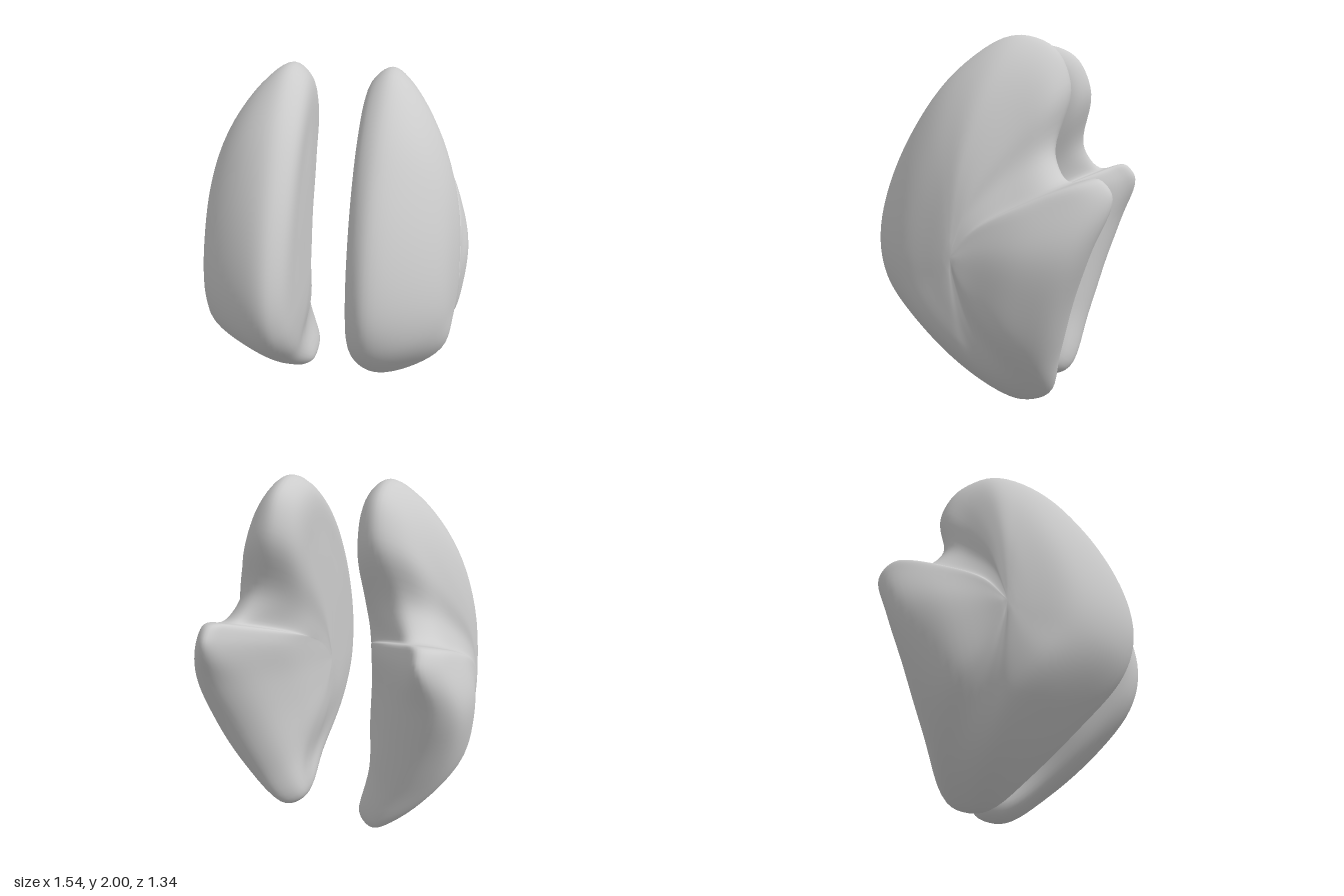
import * as THREE from 'three';
import { mergeVertices } from 'three/addons/utils/BufferGeometryUtils.js';

// Rim stations, clockwise from the top: z, y, then x on the inner face (half way
// out, near rim), x at the rim, x on the outer face (near rim, half way out).
const STATIONS = [
  [-0.10, 2.00, 0.15, 0.175, 0.28, 0.41, 0.58],
  [-0.32, 1.93, 0.155, 0.18, 0.28, 0.405, 0.56],
  [-0.41, 1.72, 0.16, 0.195, 0.30, 0.445, 0.57],
  [-0.35, 1.42, 0.19, 0.27, 0.40, 0.51, 0.61],
  [-0.44, 1.27, 0.225, 0.39, 0.49, 0.59, 0.655],
  [-0.60, 1.29, 0.255, 0.46, 0.55, 0.635, 0.69],
  [-0.67, 1.20, 0.27, 0.48, 0.56, 0.655, 0.72],
  [-0.58, 0.95, 0.26, 0.43, 0.60, 0.72, 0.768],
  [-0.48, 0.67, 0.235, 0.36, 0.53, 0.695, 0.762],
  [-0.39, 0.35, 0.21, 0.28, 0.42, 0.59, 0.715],
  [-0.31, 0.10, 0.225, 0.205, 0.31, 0.44, 0.61],
  [-0.14, 0.05, 0.225, 0.21, 0.30, 0.42, 0.60],
  [0.10, 0.19, 0.20, 0.22, 0.30, 0.47, 0.65],
  [0.40, 0.43, 0.16, 0.19, 0.29, 0.46, 0.675],
  [0.61, 0.68, 0.15, 0.18, 0.27, 0.46, 0.655],
  [0.67, 0.90, 0.15, 0.18, 0.27, 0.445, 0.645],
  [0.62, 1.18, 0.15, 0.175, 0.27, 0.44, 0.635],
  [0.45, 1.53, 0.148, 0.17, 0.27, 0.44, 0.62],
  [0.20, 1.83, 0.15, 0.17, 0.28, 0.44, 0.60],
];
const CENTRE = { z: 0.1, y: 0.9, inner: 0.14, outer: 0.73 };
const AROUND = 114, ACROSS = 44;
const { lerp, smoothstep } = THREE.MathUtils;

// Closed loop through all stations at a fraction s of the way to the rim;
// loops grow faster in y than in z, so the middle ones are tall ovals
function ring(s, xOf) {
  const pts = STATIONS.map((r) => new THREE.Vector3(
    xOf(r),
    CENTRE.y + (r[1] - CENTRE.y) * Math.pow(s, 0.6),
    CENTRE.z + (r[0] - CENTRE.z) * s));
  return new THREE.CatmullRomCurve3(pts, true);
}

// Evens out creases: each pass moves vertices toward, then away from, the mean
// of their neighbours, which keeps the volume
function relax(geo, passes) {
  const pos = geo.attributes.position, idx = geo.index.array;
  const near = Array.from({ length: pos.count }, () => new Set());
  for (let i = 0; i < idx.length; i += 3) {
    for (let k = 0; k < 3; k++) {
      const a = idx[i + k], b = idx[i + (k + 1) % 3];
      if (a !== b) near[a].add(b), near[b].add(a);
    }
  }
  for (let pass = 0; pass < passes; pass++) {
    for (const amount of [0.5, -0.52]) {
      const old = near.map((_, i) => new THREE.Vector3().fromBufferAttribute(pos, i));
      near.forEach((set, i) => {
        const mean = new THREE.Vector3();
        for (const j of set) mean.add(old[j]);
        mean.divideScalar(set.size).lerpVectors(old[i], mean.clone(), amount);
        pos.setXYZ(i, mean.x, mean.y, mean.z);
      });
    }
  }
}

function lobeGeometry(side) {
  const rings = [
    ring(0, () => CENTRE.inner),
    ring(0.2, (r) => lerp(CENTRE.inner, r[2], 0.3)),
    ring(0.55, (r) => r[2]),
    ring(0.88, (r) => r[3]),
    ring(1, (r) => r[4]),
    ring(0.88, (r) => r[5]),
    ring(0.55, (r) => r[6]),
    ring(0.2, (r) => lerp(CENTRE.outer, r[6], 0.25)),
    ring(0, () => CENTRE.outer),
  ];
  const positions = [], index = [];
  for (let i = 0; i < AROUND; i++) {
    // Spoke running from the inner face, round the rim, to the outer face
    const spoke = new THREE.CatmullRomCurve3(rings.map((c) => c.getPoint(i / AROUND)));
    for (const p of spoke.getPoints(ACROSS)) {
      if (side < 0) {
        // The right lobe reaches a little lower and closer to the middle
        const low = 1 - smoothstep(p.y, 0.05, 0.45);
        p.x -= (0.025 + 0.04 * low) * (1 - smoothstep(p.x, 0.3, 0.75));
        p.y -= 0.05 * low;
        p.z += 0.02 * smoothstep(-p.z, 0.4, 0.67);
      }
      positions.push(side * p.x, p.y, p.z);
    }
  }
  const n = ACROSS + 1;
  for (let i = 0; i < AROUND; i++) {
    for (let j = 0; j < ACROSS; j++) {
      const a = i * n + j, b = ((i + 1) % AROUND) * n + j;
      if (side > 0) index.push(a, a + 1, b, b, a + 1, b + 1);
      else index.push(a, b, a + 1, b, b + 1, a + 1);
    }
  }
  let geo = new THREE.BufferGeometry();
  geo.setAttribute('position', new THREE.Float32BufferAttribute(positions, 3));
  geo.setIndex(index);
  geo = mergeVertices(geo, 1e-5);
  relax(geo, 12);
  geo.computeVertexNormals();
  return geo;
}

export function createModel() {
  const group = new THREE.Group();
  group.name = 'pairedLobes';
  const material = new THREE.MeshStandardMaterial({ color: 0xcccccc });
  for (const [name, side] of [['leftLobe', 1], ['rightLobe', -1]]) {
    const lobe = new THREE.Mesh(lobeGeometry(side), material);
    lobe.name = name;
    group.add(lobe);
  }
  // Stand the pair on the ground
  const box = new THREE.Box3().setFromObject(group);
  for (const lobe of group.children) lobe.geometry.translate(0, -box.min.y, 0);
  return group;
}
